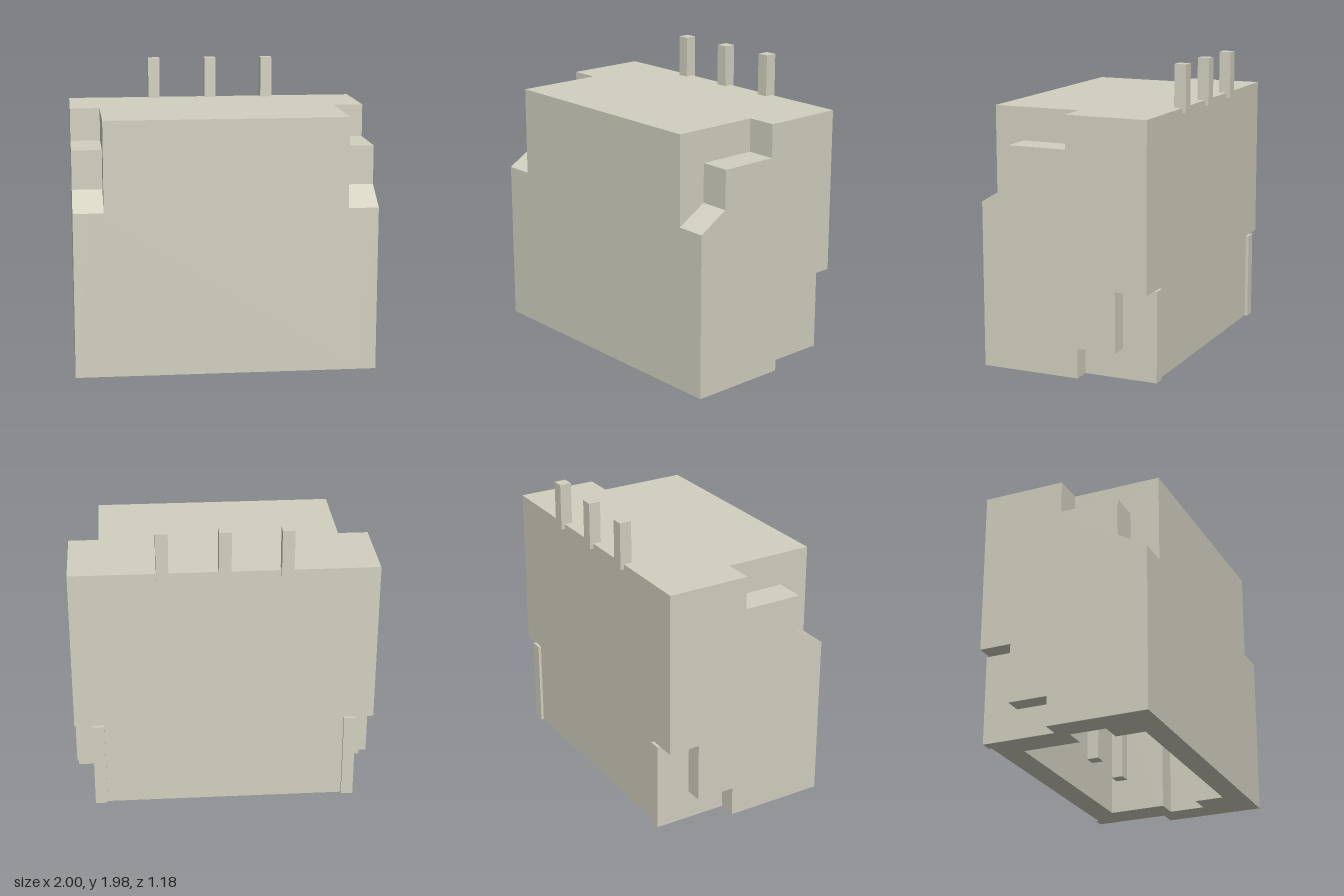
import * as THREE from 'three';

const FRONT = 0.59, BACK = -0.565, TOP = 1.7, SPLIT = 1.1;

const toShape = (points) => new THREE.Shape(points.map(([a, b]) => new THREE.Vector2(a, b)));

// Extrudes a [z, y] side profile between two x positions
function sideProfile(points, x0, x1) {
  const g = new THREE.ExtrudeGeometry(toShape(points), { depth: x1 - x0, bevelEnabled: false });
  return g.rotateY(-Math.PI / 2).translate(x1, 0, 0);
}

function boxBetween(x0, x1, y0, y1, z0, z1) {
  return new THREE.BoxGeometry(x1 - x0, y1 - y0, z1 - z0)
    .translate((x0 + x1) / 2, (y0 + y1) / 2, (z0 + z1) / 2);
}

export function createModel() {
  const model = new THREE.Group();
  model.name = 'pinHeader';
  const plastic = new THREE.MeshStandardMaterial({ color: 0xd2d0bf });
  plastic.name = 'warm grey plastic';

  const add = (name, geometry) => {
    const mesh = new THREE.Mesh(geometry, plastic);
    mesh.name = name;
    model.add(mesh);
  };

  // Socket walls: a block open at the bottom, with a key slot in each side of the cavity
  const outline = toShape([[-0.88, -FRONT], [0.88, -FRONT], [0.88, -BACK], [-0.88, -BACK]]);
  const half = [[0.675, 0.435], [0.675, 0.235], [0.82, 0.235], [0.82, -0.01], [0.675, -0.01], [0.675, -0.4]];
  const cavity = [...half, ...half.map(([x, z]) => [-x, z]).reverse()];
  outline.holes.push(new THREE.Path(cavity.map(([x, z]) => new THREE.Vector2(x, -z))));
  add('socketWalls',
    new THREE.ExtrudeGeometry(outline, { depth: SPLIT, bevelEnabled: false }).rotateX(-Math.PI / 2));

  // Solid upper block, closing the cavity
  add('upperBlock', boxBetween(-0.8, 0.8, SPLIT, TOP, BACK, FRONT));

  // Stepped shoulder, recessed at the top front corner
  const shoulder = [
    [BACK, SPLIT], [FRONT, SPLIT], [0.39, 1.22], [0.39, 1.48], [-0.01, 1.48], [-0.01, TOP], [BACK, TOP],
  ];
  // Cheek plate, cut away in steps at the bottom rear corner
  const cheek = [
    [-0.085, 0], [FRONT, 0], [FRONT, SPLIT], [BACK, SPLIT], [BACK, 0.6], [-0.35, 0.6], [-0.35, 0.2], [-0.085, 0.2],
  ];

  for (const [side, s] of [['left', 1], ['right', -1]]) {
    const span = (a, b) => (s > 0 ? [a, b] : [-b, -a]);
    add(side + 'Shoulder', sideProfile(shoulder, ...span(0.8, 1)));
    add(side + 'Cheek', sideProfile(cheek, ...span(0.88, 1)));
    add(side + 'RearFin', boxBetween(...span(0.8, 0.88), 0, 0.6, -0.585, BACK + 0.01));
  }

  // Solder tails on top and contact pins inside the cavity
  for (const x of [-0.4, 0, 0.4]) {
    add('solderTail', boxBetween(x - 0.04, x + 0.04, 1.665, 1.98, -0.59, -0.51));
    add('contactPin', boxBetween(x - 0.04, x + 0.04, 0.14, SPLIT + 0.02, -0.26, -0.18));
  }
  return model;
}
